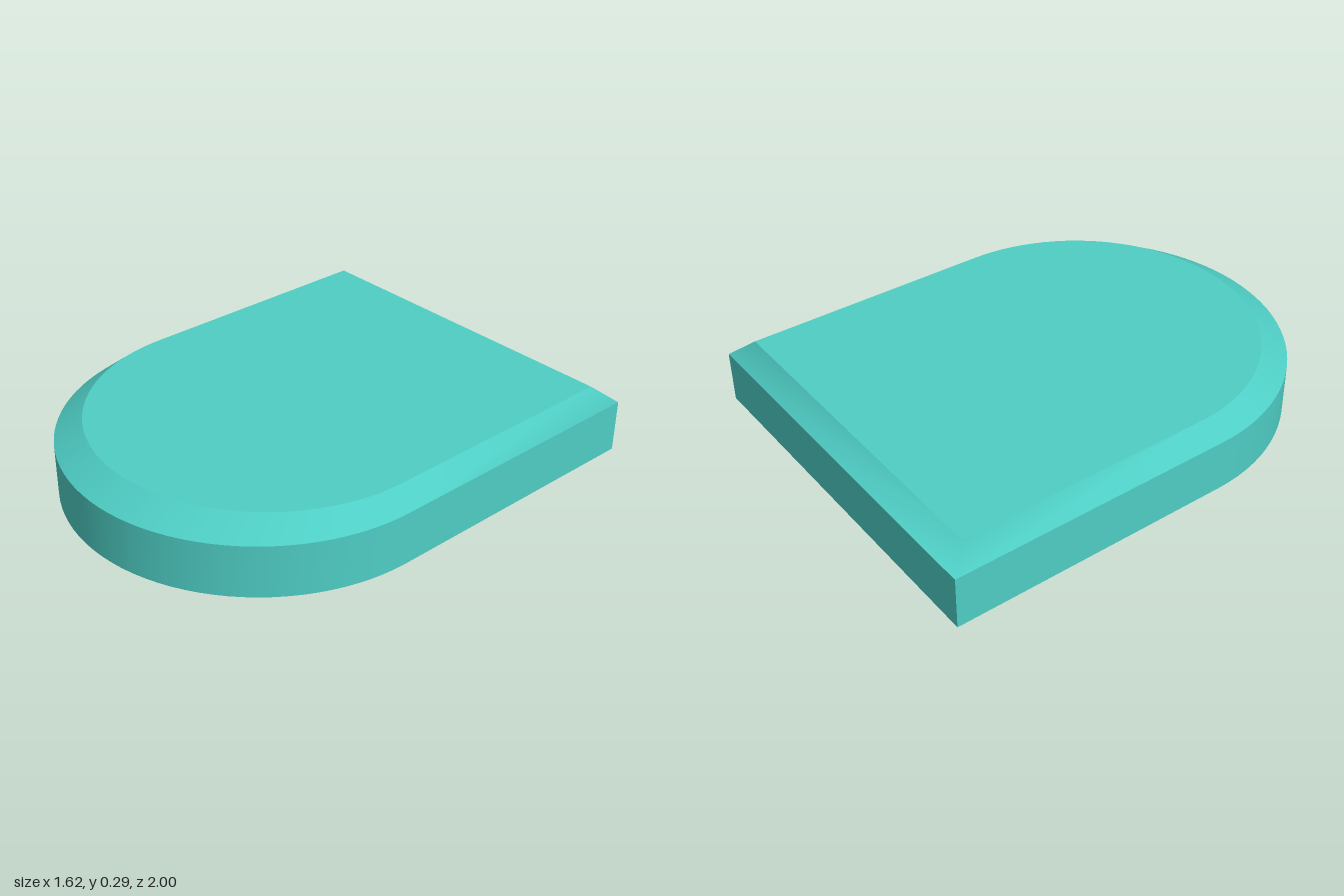
import * as THREE from 'three';
import { toCreasedNormals } from 'three/addons/utils/BufferGeometryUtils.js';

const ARC_STEPS = 48;

// D-shaped outline: rounded front, square back
function outline(halfWidth, back, arcZ, arcDepth, y) {
  const pts = [];
  for (let i = 0; i <= ARC_STEPS; i++) {
    const a = (i / ARC_STEPS) * Math.PI;
    pts.push([halfWidth * Math.cos(a), y, arcZ + arcDepth * Math.sin(a)]);
  }
  pts.push([-halfWidth, y, back], [halfWidth, y, back]);
  return pts;
}

function build(points, indices) {
  const g = new THREE.BufferGeometry();
  g.setAttribute('position', new THREE.Float32BufferAttribute(points.flat(), 3));
  g.setIndex(indices);
  g.computeVertexNormals();
  return g;
}

// Closed strip joining two outlines
function band(lower, upper) {
  const n = lower.length;
  const idx = [];
  for (let i = 0; i < n; i++) {
    const j = (i + 1) % n;
    idx.push(i, n + i, j, j, n + i, n + j);
  }
  return build([...lower, ...upper], idx);
}

// Flat face filling an outline
function cap(loop, facesUp) {
  const n = loop.length;
  const idx = [];
  for (let i = 0; i < n; i++) {
    const j = (i + 1) % n;
    idx.push(n, facesUp ? j : i, facesUp ? i : j);
  }
  return build([...loop, [0, loop[0][1], 0]], idx);
}

export function createModel() {
  const group = new THREE.Group();
  group.name = 'roundedSlab';
  const material = new THREE.MeshStandardMaterial({ color: 0x4ecdc4 });

  const base = outline(0.81, -1, 0.19, 0.81, 0);
  const shoulder = outline(0.81, -1, 0.19, 0.81, 0.22);
  const top = outline(0.73, -0.915, 0.15, 0.73, 0.29);

  const parts = {
    sideWall: toCreasedNormals(band(base, shoulder), 0.6),
    bevel: band(shoulder, top),
    topFace: cap(top, true),
    underside: cap(base, false),
  };
  for (const [name, geometry] of Object.entries(parts)) {
    const mesh = new THREE.Mesh(geometry, material);
    mesh.name = name;
    group.add(mesh);
  }
  return group;
}
